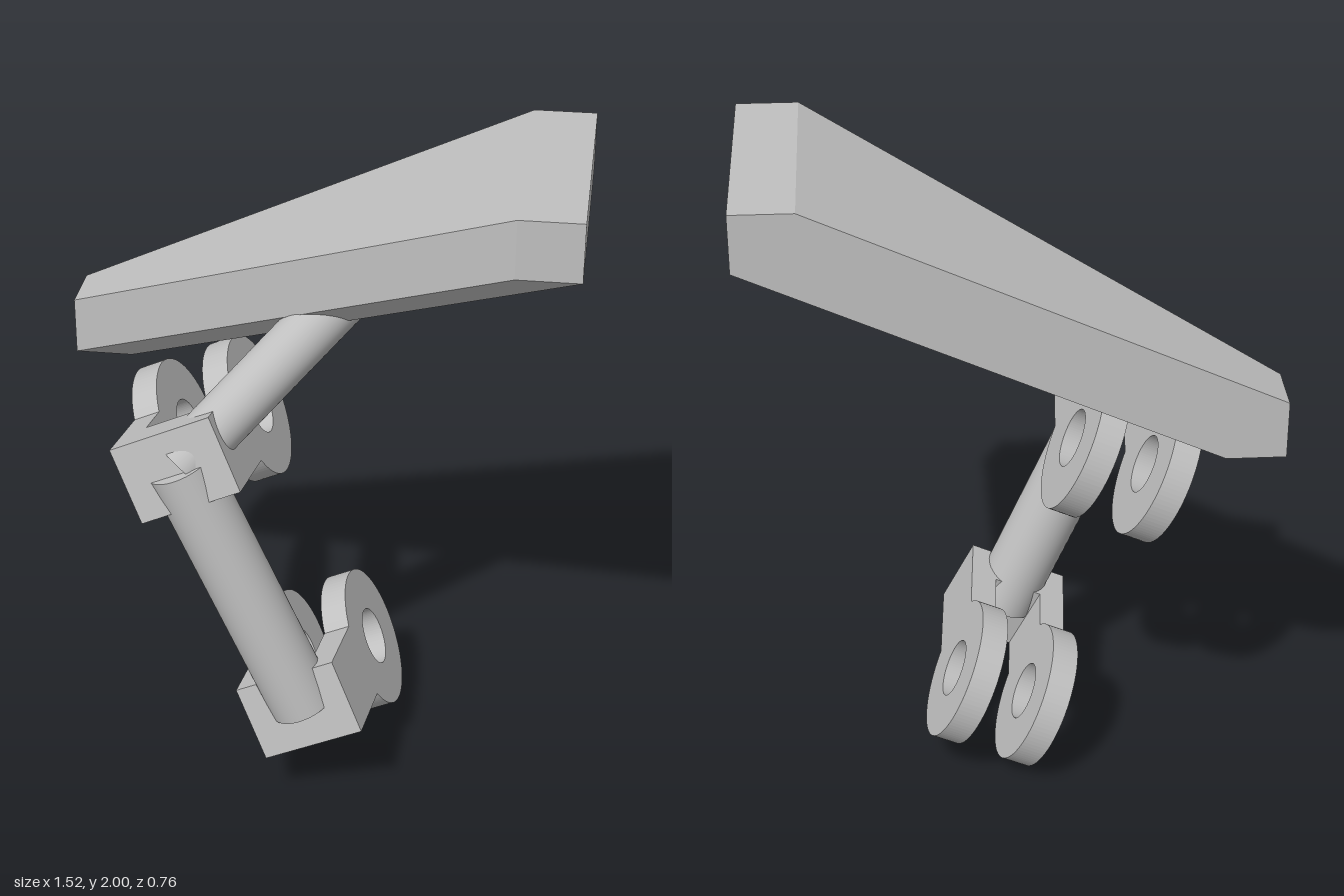
import * as THREE from 'three';

const grey = new THREE.MeshStandardMaterial({ color: 0xc0c0c0 });
grey.name = 'light grey';

const ROLL = 0.422, PITCH = -0.18;

function add(parent, name, geometry) {
  const mesh = new THREE.Mesh(geometry, grey);
  mesh.name = name;
  parent.add(mesh);
  return mesh;
}

// Round rod between two points
function rod(parent, name, from, to, radius) {
  const dir = to.clone().sub(from);
  const mesh = add(parent, name, new THREE.CylinderGeometry(radius, radius, dir.length(), 48));
  mesh.position.copy(from).addScaledVector(dir, 0.5);
  mesh.quaternion.setFromUnitVectors(new THREE.Vector3(0, 1, 0), dir.normalize());
}

// Fork with two ring-ended prongs joined by a front block; origin at the ring axis
function bracket(name, x, y, z) {
  const group = new THREE.Group();
  group.name = name;
  const R = 0.217, h = 0.118, front = 0.443, thick = 0.082, half = 0.158;
  const a = Math.asin(h / R);
  const shape = new THREE.Shape();
  shape.moveTo(front, -h);
  shape.lineTo(front, h);
  shape.absarc(0, 0, R, a, Math.PI * 2 - a, false);
  shape.closePath();
  const hole = new THREE.Path();
  hole.absarc(0, 0, 0.088, 0, Math.PI * 2, true);
  shape.holes.push(hole);
  const prong = new THREE.ExtrudeGeometry(shape, { depth: thick, bevelEnabled: false, curveSegments: 40 });
  prong.rotateY(-Math.PI / 2);
  add(group, 'leftProng', prong).position.x = half;
  add(group, 'rightProng', prong).position.x = -half + thick;
  const gap = 2 * (half - thick);
  add(group, 'frontBlock', new THREE.BoxGeometry(gap, 2 * h, 0.123)).position.z = front - 0.0615;
  group.rotation.set(PITCH, 0, ROLL, 'ZXY');
  group.position.set(x, y, z);
  return group;
}

// Sloping slab with flat ends, a slanted front wall and a ramp under its front edge
function slabGeometry() {
  const lo = 1.213, hi = 1.828, t = 0.172;
  const plan = { A: [-0.76, lo, -0.21], B: [0.58, hi, 0.38], C: [0.76, hi, 0.38],
    D: [0.76, hi, -0.38], E: [-0.76, lo, -0.38], F: [-0.59, lo, -0.38],
    G: [0.58, hi, -0.38], P: [-0.59, lo, -0.21] };
  // Capital letters are top corners, small letters bottom corners
  const faces = ['ABGE', 'BCDG', 'aefp', 'pfdc', 'apcb',
    'AabB', 'BbcC', 'CcdD', 'EeaA', 'DdfeEG'];
  const point = (k) => {
    const [x, y, z] = plan[k.toUpperCase()];
    return [x, k < 'a' ? y + t : y, z];
  };
  const pos = [];
  for (const f of faces) {
    for (let i = 1; i < f.length - 1; i++) {
      pos.push(...point(f[0]), ...point(f[i]), ...point(f[i + 1]));
    }
  }
  const g = new THREE.BufferGeometry();
  g.setAttribute('position', new THREE.Float32BufferAttribute(pos, 3));
  g.computeVertexNormals();
  return g;
}

export function createModel() {
  const model = new THREE.Group();
  model.name = 'bracketArm';

  add(model, 'slab', slabGeometry());
  model.add(bracket('upperBracket', -0.326, 1.069, -0.1));
  model.add(bracket('lowerBracket', 0.026, 0.266, -0.1));

  // Rods meet in the middle of the upper bracket's block
  const top = new THREE.Vector3(-0.355, 1.13, 0.277);
  const bottom = new THREE.Vector3(-0.001, 0.327, 0.277);
  rod(model, 'mainRod', top, bottom, 0.1);
  rod(model, 'slabRod', top, new THREE.Vector3(0.165, 1.655, -0.035), 0.082);

  return model;
}
